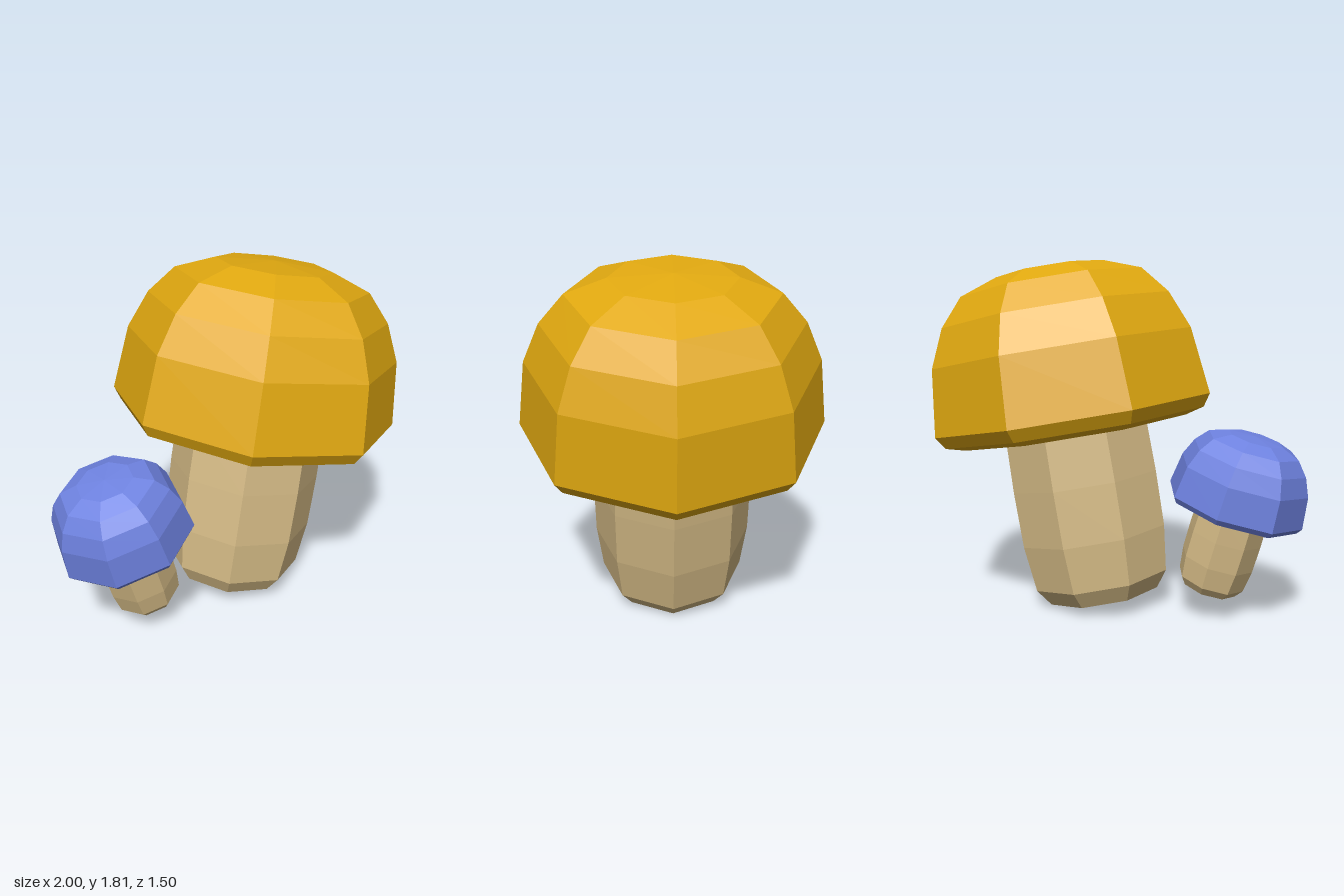
import * as THREE from 'three';

const SIDES = 8;

// Profiles as [radius, height], bottom to top
const STEM = [[0, 0], [0.305, 0], [0.37, 0.09], [0.4, 0.33], [0.403, 0.62], [0.395, 0.92]];
const CAP = [
  [0, 0.885], [0.61, 0.885], [0.71, 0.913], [0.752, 0.975], [0.707, 1.315],
  [0.622, 1.51], [0.5, 1.653], [0.3, 1.73], [0, 1.751],
];

function lathe(name, profile, color) {
  const points = profile.map(([r, y]) => new THREE.Vector2(r, y));
  const material = new THREE.MeshStandardMaterial({ color, flatShading: true });
  const mesh = new THREE.Mesh(new THREE.LatheGeometry(points, SIDES), material);
  mesh.name = name;
  return mesh;
}

// A leaning mushroom: stem base at (x, y), tilt in degrees about z
function mushroom(name, x, y, tilt, scale, capColor) {
  const group = new THREE.Group();
  group.name = name;
  group.add(lathe('stem', STEM, 0xd5bb86), lathe('cap', CAP, capColor));
  group.position.set(x, y, 0);
  group.rotation.z = THREE.MathUtils.degToRad(tilt);
  group.scale.setScalar(scale);
  return group;
}

export function createModel() {
  const model = new THREE.Group();
  model.name = 'mushrooms';
  model.add(
    mushroom('largeMushroom', 0.07, 0.06, -10, 1, 0xe0a810),
    mushroom('smallMushroom', -0.51, 0.153, 16.2, 0.47, 0x6e82e0),
  );
  return model;
}
